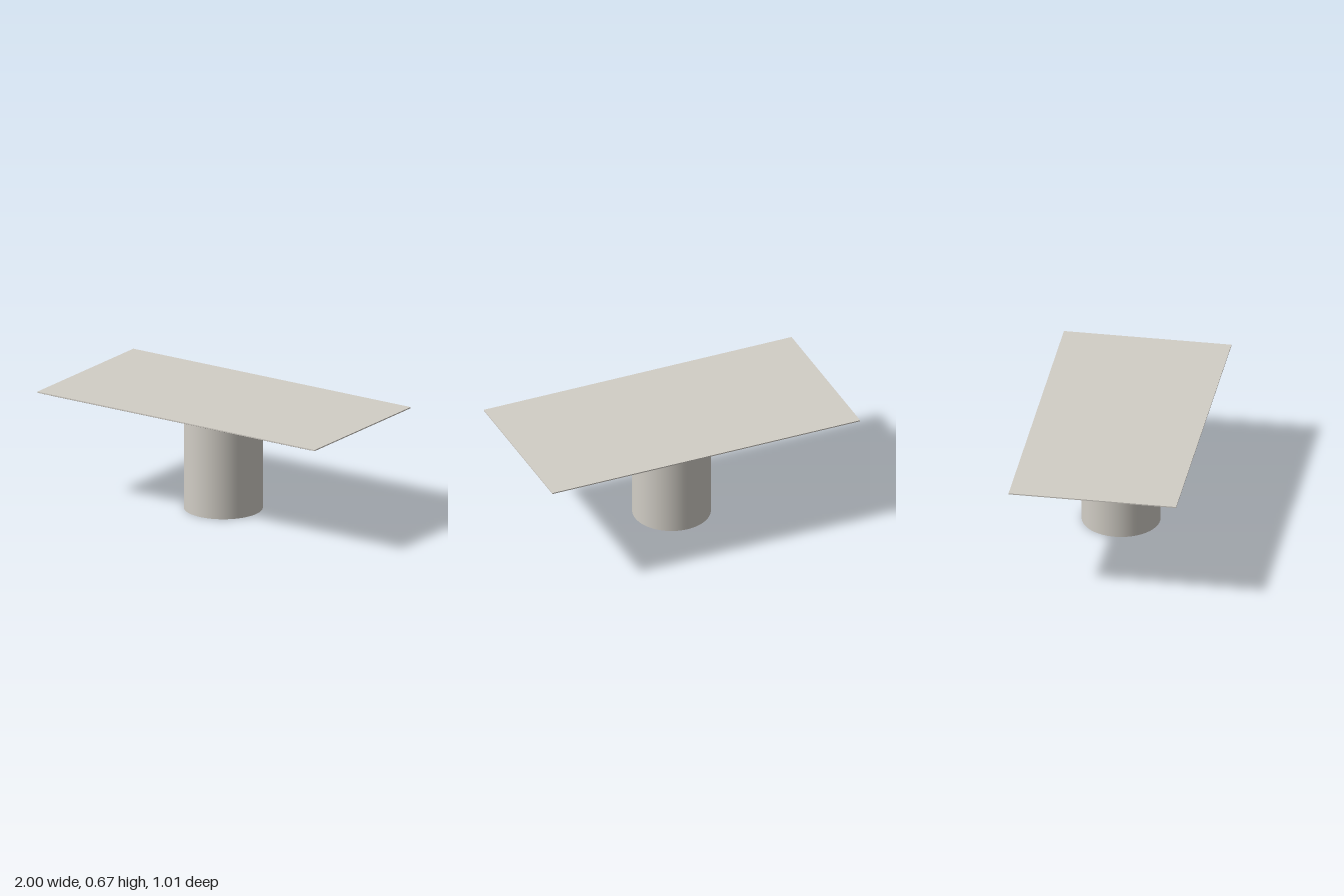
import * as THREE from 'three';

const LENGTH = 2, DEPTH = 1.01, TOP = 0.672, EDGE = 0.665, UNDER = 0.633, INSET = 0.08;

// Slab with a thin square edge and a wide chamfer underneath
function bevelledTop() {
  const box = new THREE.BoxGeometry(LENGTH, 2, DEPTH, 1, 2, 1);
  const p = box.attributes.position;
  for (let i = 0; i < p.count; i++) {
    const row = Math.round(p.getY(i)); // -1 underside, 0 edge, 1 top
    p.setY(i, [UNDER, EDGE, TOP][row + 1]);
    if (row === -1) {
      p.setX(i, p.getX(i) - Math.sign(p.getX(i)) * INSET);
      p.setZ(i, p.getZ(i) - Math.sign(p.getZ(i)) * INSET);
    }
  }
  const geometry = box.toNonIndexed();
  geometry.computeVertexNormals();
  return geometry;
}

export function createModel() {
  const group = new THREE.Group();
  group.name = 'pedestalTable';

  const stone = new THREE.MeshStandardMaterial({ color: 0xd2cec6 });
  stone.name = 'warm grey stone';

  const tableTop = new THREE.Mesh(bevelledTop(), stone);
  tableTop.name = 'tableTop';
  group.add(tableTop);

  // Round column, set very slightly forward of centre
  const column = new THREE.CylinderGeometry(0.235, 0.235, UNDER, 64);
  const pedestal = new THREE.Mesh(column, stone);
  pedestal.name = 'pedestal';
  pedestal.position.set(0, UNDER / 2, 0.007);
  group.add(pedestal);

  return group;
}
